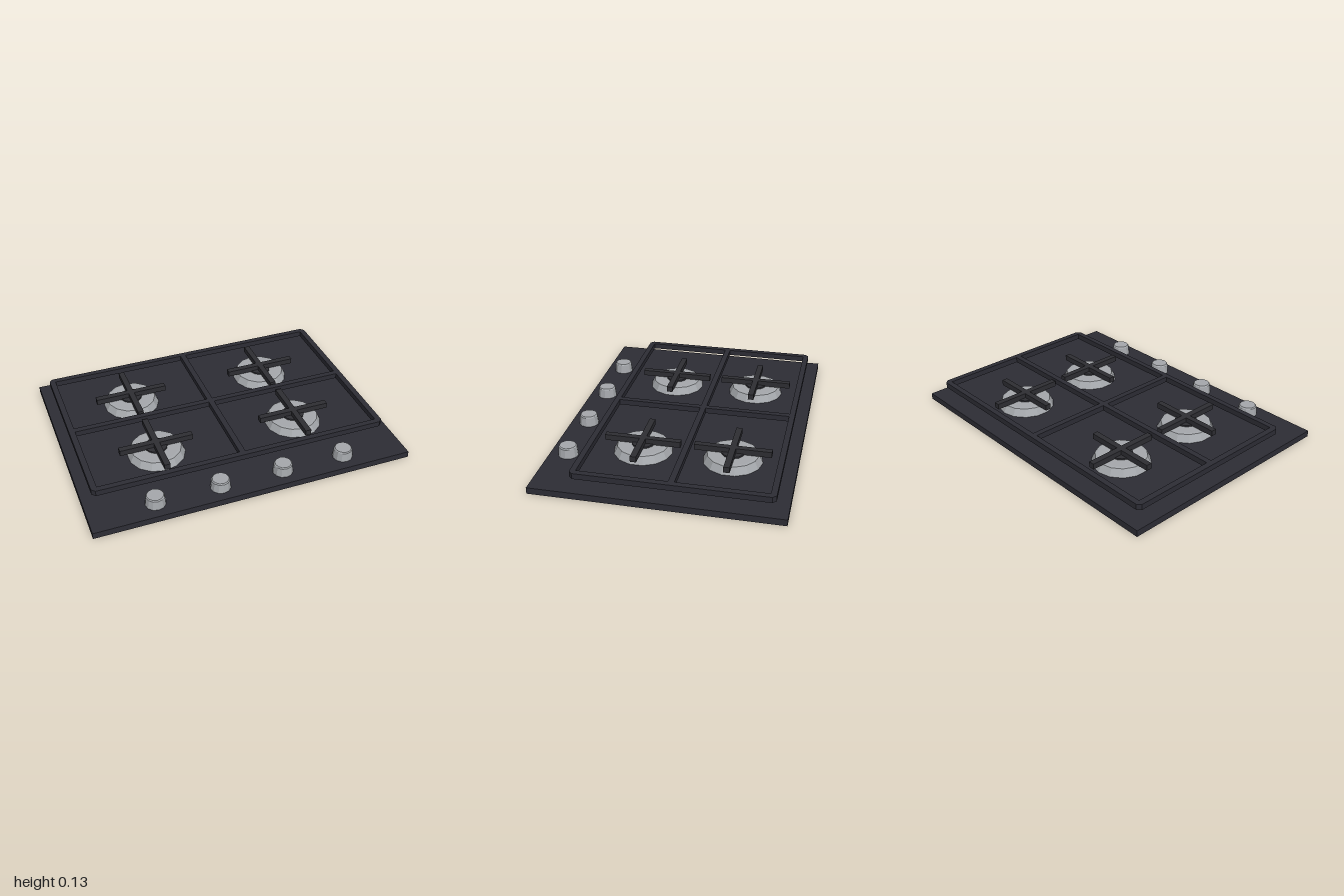
import * as THREE from 'three';

export function createModel() {
  const model = new THREE.Group();
  model.name = 'gasHob';

  const mat = (name, color, flatShading = false) => {
    const m = new THREE.MeshStandardMaterial({ color, flatShading });
    m.name = name;
    return m;
  };
  const enamel = mat('darkEnamel', 0x2d2d35);
  const iron = mat('castIron', 0x2e2e33);
  const steel = mat('brushedSteel', 0xa6a9ad, true);

  const add = (parent, name, geometry, material, x = 0, y = 0, z = 0) => {
    const mesh = new THREE.Mesh(geometry, material);
    mesh.name = name;
    mesh.position.set(x, y, z);
    parent.add(mesh);
    return mesh;
  };
  const lathe = (points, sides) =>
    new THREE.LatheGeometry(points.map(([r, y]) => new THREE.Vector2(r, y)), sides);

  // Base plate
  const deck = 0.04;
  add(model, 'basePlate', new THREE.BoxGeometry(2, deck, 1.48), enamel, 0, deck / 2, 0);

  // Raised frame with chamfered corners and four openings
  const gridY = 0.094, gridH = 0.036, w = 0.938, d = 0.588, c = 0.022, frameZ = -0.08;
  const outline = [[-w + c, -d], [w - c, -d], [w, -d + c], [w, d - c],
    [w - c, d], [-w + c, d], [-w, d - c], [-w, -d + c]];
  const frame = new THREE.Shape(outline.map(([x, y]) => new THREE.Vector2(x, y)));
  for (const sx of [-1, 1]) {
    for (const sy of [-1, 1]) {
      const corners = [[0.018, 0.018], [0.018, 0.553], [0.901, 0.553], [0.901, 0.018]];
      frame.holes.push(new THREE.Path(corners.map(([x, y]) => new THREE.Vector2(sx * x, sy * y))));
    }
  }
  const frameGeometry = new THREE.ExtrudeGeometry(frame, { depth: gridH, bevelEnabled: false });
  frameGeometry.rotateX(-Math.PI / 2);
  add(model, 'gridFrame', frameGeometry, enamel, 0, gridY, frameZ);

  // Burners, each with a cap and a cross-shaped pan support
  const bowl = lathe([[0.18, deck], [0.157, 0.088], [0.14, 0.09], [0, 0.09]], 14);
  const cap = new THREE.CylinderGeometry(0.07, 0.07, 0.012, 14);
  const barX = new THREE.BoxGeometry(0.466, gridH, 0.037);
  const barZ = new THREE.BoxGeometry(0.037, gridH, 0.466);
  for (const x of [-0.46, 0.46]) {
    for (const z of [-0.352, 0.198]) {
      const burner = new THREE.Group();
      burner.name = 'burner';
      burner.position.set(x, 0, z);
      add(burner, 'burnerBowl', bowl, steel);
      add(burner, 'burnerCap', cap, iron, 0, 0.094, 0);
      add(burner, 'supportBarAcross', barX, iron, 0, gridY + gridH / 2, 0);
      add(burner, 'supportBarAlong', barZ, iron, 0, gridY + gridH / 2, 0);
      model.add(burner);
    }
  }

  // Control knobs along the front edge
  const knob = lathe([[0.062, deck], [0.056, 0.098], [0.05, 0.105], [0, 0.105]], 12);
  for (const x of [-0.6, -0.2, 0.2, 0.6]) add(model, 'controlKnob', knob, steel, x, 0, 0.627);

  return model;
}
